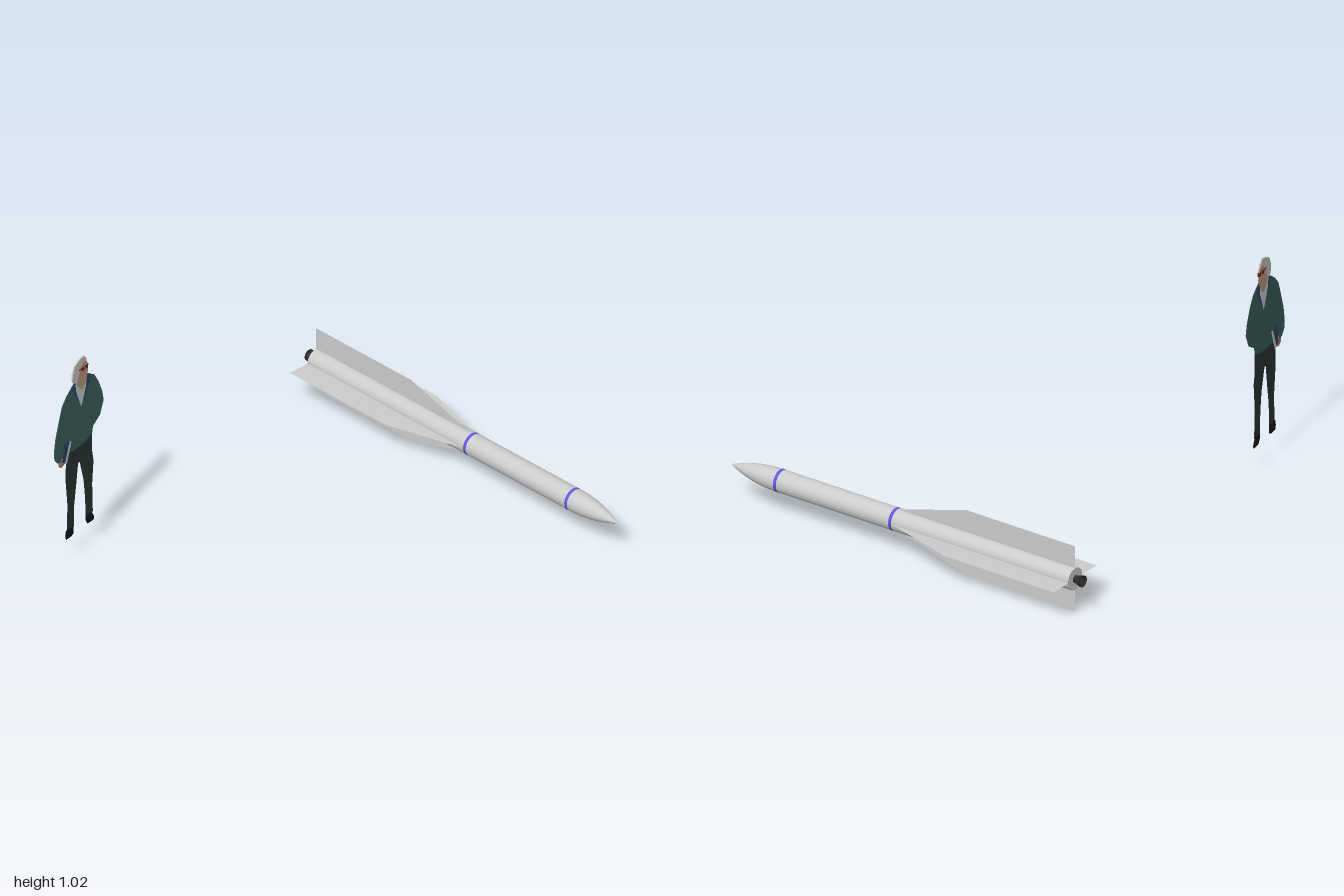
import * as THREE from 'three';

const material = (color, side = THREE.FrontSide) =>
  new THREE.MeshStandardMaterial({ color, side });

function add(parent, name, geometry, mat) {
  const mesh = new THREE.Mesh(geometry, mat);
  mesh.name = name;
  parent.add(mesh);
  return mesh;
}

const points = (flat, scale = 1) => {
  const out = [];
  for (let i = 0; i < flat.length; i += 2) out.push(new THREE.Vector2(flat[i] * scale, flat[i + 1] * scale));
  return out;
};

// Rocket, built with its nose along +y and then laid down along +z
function createRocket() {
  const rocket = new THREE.Group();
  rocket.name = 'rocket';
  const grey = material(0xcccccc);
  const radius = 0.053, tail = -0.913, shoulder = 0.69, tip = 0.956;
  const lathe = (name, flat, mat) => add(rocket, name, new THREE.LatheGeometry(points(flat), 40), mat);

  lathe('body', [radius, tail, radius, shoulder], grey);
  lathe('tailPlate', [0, tail, radius, tail], grey);

  // Rounded ogive nose
  const nose = [];
  for (let i = 0; i <= 14; i++) {
    const t = i / 14;
    nose.push(radius * (1 - t ** 2.1), shoulder + (tip - shoulder) * t);
  }
  lathe('noseCone', nose, grey);

  // Coloured bands
  for (const y of [0.683, 0.057]) {
    lathe('band', [radius + 0.0008, y - 0.008, radius + 0.0008, y + 0.008], material(0x5f58e0));
  }

  // Flared exhaust nozzle
  lathe('nozzle', [0, -0.93, 0.027, -0.957, 0.027, -0.95, 0.017, -0.92, 0.017, tail],
    material(0x2c2c2c, THREE.DoubleSide));

  // Four thin fins with swept leading edges
  const outline = points([0.05, tail, 0.161, tail, 0.161, -0.323, 0.05, 0.055]);
  const finGeometry = new THREE.ShapeGeometry(new THREE.Shape(outline));
  const finMaterial = material(0xcccccc, THREE.DoubleSide);
  for (let i = 0; i < 4; i++) {
    add(rocket, 'fin', finGeometry, finMaterial).rotation.y = i * Math.PI / 2;
  }

  rocket.rotation.x = Math.PI / 2;
  rocket.position.set(0.838, 0.161, 0);
  return rocket;
}

// Flat standing figure; outlines are in hundredths of a unit, higher layers lie over lower ones
function createFigure() {
  const figure = new THREE.Group();
  figure.name = 'flatFigure';
  function cutout(name, color, layer, flat) {
    const depth = 0.0012 * layer;
    const geometry = new THREE.ExtrudeGeometry(new THREE.Shape(points(flat, 0.01)),
      { depth, bevelEnabled: false });
    geometry.translate(0, 0, -depth / 2);
    add(figure, name, geometry, material(color));
  }

  cutout('shoe', 0x171717, 2, [-9.6, 16, -4.3, 16, -4.1, 12, -5.9, 11.2, -9.6, 11.3, -10.2, 13.4]);
  cutout('shoe', 0x171717, 2, [5.1, 16, 9.4, 16, 11.2, 12.6, 10.7, 11.2, 6.4, 11.4, 4.8, 14]);
  cutout('trousers', 0x2b3333, 1, [-9.6, 57.5, 9.6, 57.5, 9.7, 47.9, 10.7, 42.5, 9.7, 30.7, 10.2, 15.8,
    5.1, 15.4, 4.5, 26.5, 3.4, 36.1, 0.5, 47, -0.8, 47, -2.1, 37.2, -3.7, 26.5, -4, 15.4,
    -9, 15.8, -8.6, 29.1, -10, 42.5]);
  cutout('hand', 0xb08868, 1, [-15.2, 55.5, -11.5, 55.5, -11, 51.8, -13.4, 51, -15.4, 52.8]);
  cutout('jacket', 0x3c605c, 2, [-5.3, 89.6, -9.6, 86.4, -12.8, 82.6, -15.5, 74.6, -17.6, 68.2, -18.7, 61.2,
    -18.2, 57.5, -16, 54.8, -13.9, 54.5, -11.5, 57.5, -9.6, 56.2, -3, 55.3, 4, 55.6, 9.6, 57, 10.2, 60.7,
    15.5, 63.9, 18.2, 70.3, 17.1, 75.7, 14.4, 82.1, 11.2, 87.4, 7, 90.1]);
  cutout('notebook', 0x34445f, 3, [-11.4, 62.3, -6.6, 61.8, -9.6, 51.4, -12.6, 53.4]);
  cutout('notebookPages', 0xc4ccd2, 4, [-7.2, 61.8, -5.9, 61.2, -9.4, 51.2, -10.7, 52]);
  cutout('collar', 0x364a66, 3, [-5.6, 89.3, -3.2, 90.8, 6.2, 90.8, 8.8, 89, 8, 85.3, 5.5, 81.4,
    1.6, 77, -0.8, 80, -4, 84.5]);
  cutout('shirt', 0xc3d0d2, 4, [-3, 90.4, 5.4, 90.4, 4.8, 84.5, 1.5, 75.8, -0.8, 81, -2.4, 85.6]);
  cutout('face', 0xc39a7c, 5, [-2.5, 97, 0, 99.5, 4.5, 99.5, 5.9, 96.5, 6.3, 92.4, 5.3, 89, 3.6, 85.6,
    1.8, 84.4, -0.6, 87, -2.6, 90]);
  cutout('hair', 0xcac8c2, 6, [-5, 96, -3.7, 99.2, -0.5, 101, 3.2, 101.6, 4.8, 99.8, 5.2, 98,
    2.4, 98.4, 0.6, 96.4, -0.4, 93.4, -1.6, 91.6, -2, 89.6, -4.2, 90.8, -5.3, 92.8]);
  for (const x of [1.2, 4]) {
    cutout('sunglassLens', 0x7a2b2b, 7, [x, 96, x + 2.4, 95.8, x + 2.1, 93.9, x + 0.5, 94]);
  }
  cutout('sunglassBridge', 0x4a2020, 6, [-1, 95.9, 6.2, 95.8, 6.2, 95.2, -1, 95.3]);

  figure.rotation.y = 0.15;
  figure.position.set(-0.815, 0, -0.743);
  return figure;
}

export function createModel() {
  const model = new THREE.Group();
  model.name = 'rocketWithFigure';
  model.add(createRocket(), createFigure());
  return model;
}
